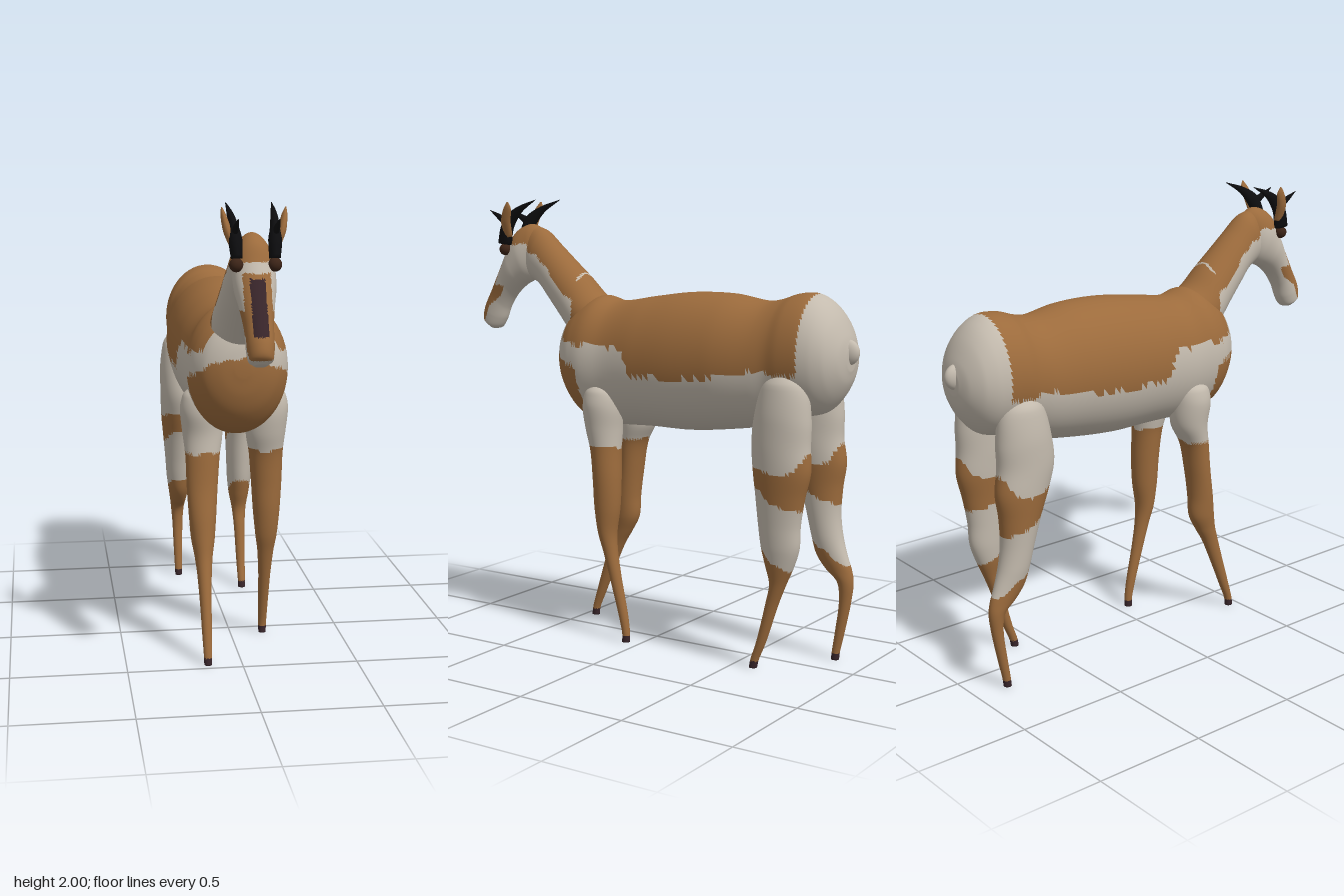
import * as THREE from 'three';

const mat = (name, color) => Object.assign(new THREE.MeshStandardMaterial({ color }), { name });

// Piecewise linear lookup in a short list of [input, output] points
function at(v, pts) {
  if (v <= pts[0][0]) return pts[0][1];
  for (let i = 1; i < pts.length; i++) {
    const [a, p] = pts[i - 1], [b, q] = pts[i];
    if (v <= b) return p + (q - p) * (v - a) / (b - a);
  }
  return pts[pts.length - 1][1];
}

// Smooth skin through oval sections [z1, y1, z2, y2, halfWidth, centreX];
// pick(x, y, z) gives the material index of each face
function loft(name, sections, materials, pick = () => 0, rings = 80, sides = 56) {
  const curve = f => new THREE.CatmullRomCurve3(sections.map(f));
  const A = curve(s => new THREE.Vector3(0, s[1], s[0]));
  const B = curve(s => new THREE.Vector3(0, s[3], s[2]));
  const W = curve(s => new THREE.Vector3(s[4], s[5] || 0, 0));
  const pos = [];
  for (let i = -1; i <= rings + 1; i++) {
    const t = Math.min(1, Math.max(0, i / rings));
    const a = A.getPoint(t), b = B.getPoint(t), w = W.getPoint(t);
    const size = i < 0 || i > rings ? 0 : 1; // closing rings
    for (let j = 0; j < sides; j++) {
      const ang = j / sides * Math.PI * 2, c = Math.cos(ang) * size / 2;
      pos.push(w.y + w.x * Math.sin(ang) * size,
        (a.y + b.y) / 2 + (a.y - b.y) * c, (a.z + b.z) / 2 + (a.z - b.z) * c);
    }
  }
  const P = i => new THREE.Vector3().fromArray(pos, i * 3);
  const tris = [];
  let volume = 0;
  for (let i = 0; i < rings + 2; i++) for (let j = 0; j < sides; j++) {
    const k = (j + 1) % sides, a = i * sides + j, b = i * sides + k, c = a + sides, d = b + sides;
    if (i < rings + 1) tris.push([a, c, d]);
    if (i > 0) tris.push([a, d, b]);
  }
  const buckets = materials.map(() => []);
  for (const t of tris) {
    const [p, q, r] = t.map(P);
    volume += p.dot(q.clone().cross(r));
    const m = p.clone().add(q).add(r).divideScalar(3);
    buckets[pick(m.x, m.y, m.z)].push(t);
  }
  const geo = new THREE.BufferGeometry();
  geo.setAttribute('position', new THREE.Float32BufferAttribute(pos, 3));
  const index = [];
  buckets.forEach((list, m) => {
    if (list.length) geo.addGroup(index.length, list.length * 3, m);
    for (const [a, b, c] of list) volume > 0 ? index.push(a, b, c) : index.push(a, c, b);
  });
  geo.setIndex(index);
  geo.computeVertexNormals();
  const mesh = new THREE.Mesh(geo, materials);
  mesh.name = name;
  return mesh;
}

export function createModel() {
  const g = new THREE.Group();
  const tan = mat('tanCoat', 0x9c6b3c), white = mat('whiteCoat', 0xc4bbae);
  const dark = mat('darkMuzzle', 0x38252a), black = mat('hornBlack', 0x0d0d0f), eyeMat = mat('eyeBrown', 0x3c2417);
  const coat = [tan, white, dark];
  const wave = v => 0.006 * Math.sin(v * 37) + 0.004 * Math.sin(v * 83);

  // Torso: z, bottom, top, half width
  const torso = [
    [.475, 1.27, 1.33, .03], [.462, 1.18, 1.41, .10], [.43, 1.1, 1.48, .16], [.36, 1.02, 1.54, .205],
    [.28, .99, 1.57, .22], [.18, .985, 1.55, .215], [0, .99, 1.575, .235], [-.2, .99, 1.6, .245],
    [-.4, 1.01, 1.6, .24], [-.58, 1.04, 1.575, .215], [-.66, 1.07, 1.59, .205], [-.72, 1.09, 1.61, .21],
    [-.8, 1.1, 1.615, .205], [-.86, 1.12, 1.585, .19], [-.91, 1.17, 1.53, .16], [-.95, 1.24, 1.45, .1],
    [-.965, 1.3, 1.4, .04]];
  const flank = [[-.8, 1.28], [-.6, 1.29], [-.3, 1.24], [-.01, 1.24], [.05, 1.34], [.08, 1.36]];
  g.add(loft('torso', torso.map(([z, b, t, w]) => [z, t, z, b, w]), coat, (x, y, z) => {
    if (z < -.81) return 1;
    if (z > .28 + (y - 1) * .08 && y < 1.35 - 2 * x * x + wave(x)) return 0; // bib
    return y > at(z, flank) + wave(z) && z < .41 ? 0 : 1;
  }, 110));

  // Tail
  const tail = new THREE.Mesh(new THREE.SphereGeometry(1, 24, 16), white);
  tail.name = 'tail';
  tail.scale.set(.032, .055, .055);
  tail.position.set(0, 1.375, -.945);
  g.add(tail);

  // Neck, tan above and white at the throat
  const nape = [[.37, 1.52], [.5, 1.63], [.62, 1.75], [.72, 1.78]];
  g.add(loft('neck', [
    [.2, 1.53, .36, 1.3, .13], [.3, 1.575, .44, 1.38, .125], [.38, 1.65, .51, 1.46, .112], [.46, 1.72, .585, 1.545, .1],
    [.54, 1.79, .64, 1.605, .09], [.62, 1.86, .7, 1.64, .08], [.68, 1.88, .74, 1.67, .06]], coat,
  (x, y, z) => (z < .4 ? y > 1.36 && z < .4 + wave(y) && (y > 1.52 + (z - .37) || z < .39)
    : y > at(z, nape) + wave(z)) ? 0 : 1));

  // Head with tan crown, tan snout and dark blaze
  g.add(loft('head', [
    [.63, 1.86, .64, 1.76, .03], [.70, 1.888, .665, 1.66, .07], [.78, 1.855, .70, 1.625, .086],
    [.828, 1.775, .75, 1.6, .085], [.88, 1.68, .81, 1.55, .07], [.94, 1.575, .85, 1.49, .058],
    [.985, 1.49, .872, 1.435, .056], [.992, 1.44, .9, 1.395, .05], [.965, 1.405, .93, 1.387, .025]], coat,
  (x, y, z) => {
    const ax = Math.abs(x), depth = .82 + (1.79 - y) * .53 - z;
    if (y > 1.79 + wave(z)) return 0;
    if (ax < .03 && y > 1.51 && y < 1.72 && depth < .04) return 2;
    if (ax < .055 && y < 1.74 && y > 1.42 && depth < .05) return 0;
    return y < 1.6 && y > 1.56 - (z - .84) * .7 && depth < .095 ? 0 : 1;
  }));

  // Eyes, ears and pronged horns
  for (const s of [1, -1]) {
    const side = s > 0 ? 'left' : 'right';
    const part = (name, list, m) =>
      g.add(loft(side + name, list.map(p => [...p.slice(0, 5), s * p[5]]), [m], undefined, 20, 14));
    const eye = new THREE.Mesh(new THREE.SphereGeometry(.028, 20, 14), eyeMat);
    eye.name = side + 'Eye';
    eye.position.set(s * .076, 1.77, .805);
    g.add(eye);
    part('Horn', [
      [.845, 1.8, .77, 1.79, .022, .075], [.825, 1.87, .76, 1.86, .027, .078], [.795, 1.925, .745, 1.885, .02, .08],
      [.72, 1.968, .7, 1.94, .014, .086], [.61, 2, .612, 1.997, .002, .092]], black);
    part('HornProng', [
      [.78, 1.915, .79, 1.87, .013, .08], [.835, 1.935, .83, 1.9, .011, .08], [.89, 1.952, .888, 1.948, .002, .08]], black);
    part('Ear', [
      [.8, 1.82, .76, 1.83, .014, .08], [.8, 1.9, .75, 1.9, .017, .107], [.775, 1.96, .735, 1.96, .011, .12],
      [.752, 1.99, .745, 1.99, .002, .126]], tan);
  }

  // Legs: y, front z, back z, half width, centre x
  const leg = (name, list, s, pick) =>
    g.add(loft(name, list.map(([y, f, b, w, x]) => [f, y, b, y, w, s * x]), coat, pick));
  const frontCoat = (x, y) => y < .035 ? 2 : y < .9 + wave(x) ? 0 : 1;
  const shoulder = [[1.19, .22, .17, .03, .15], [1.15, .27, .12, .075, .15], [1.08, .285, .105, .09, .148], [.98, .275, .11, .088, .14]];
  leg('leftFrontLeg', [...shoulder,
    [.88, .25, .112, .075, .143], [.75, .237, .108, .068, .147], [.62, .23, .112, .06, .148], [.5, .212, .128, .048, .148],
    [.42, .188, .122, .036, .148], [.3, .155, .1, .027, .148], [.12, .105, .062, .021, .148], [.04, .088, .052, .018, .148],
    [.005, .09, .053, .017, .148]], 1, frontCoat);
  leg('rightFrontLeg', [...shoulder,
    [.88, .283, .16, .075, .143], [.75, .295, .185, .068, .147], [.62, .318, .2, .06, .148], [.52, .333, .205, .052, .148],
    [.45, .345, .24, .04, .148], [.38, .365, .283, .032, .148], [.25, .405, .342, .025, .148], [.12, .445, .398, .021, .148],
    [.04, .468, .432, .018, .148], [.005, .473, .436, .017, .148]], -1, frontCoat);

  // Hind coat: white thigh, tan band, white gaskin, tan shank
  const hindCoat = shift => (x, y, z) => {
    if (y < .035) return 2;
    if (y > at(z, [[-.86, .97], [-.82, .89], [-.75, .87], [-.6, .9]])) return 1;
    if (y > at(z, [[-.86, .69], [-.75, .74], [-.6, .82]]) + wave(z)) return 0;
    return y > at(z - shift, [[-.8, .44], [-.64, .54]]) + wave(z) ? 1 : 0;
  };
  const thigh = [[1.3, -.7, -.77, .03, .15], [1.24, -.64, -.83, .075, .152], [1.1, -.6, -.855, .092, .152], [.99, -.59, -.855, .09, .153]];
  leg('leftHindLeg', [...thigh,
    [.88, -.597, -.86, .084, .155], [.77, -.61, -.835, .074, .155], [.65, -.622, -.815, .066, .152], [.55, -.635, -.81, .06, .15],
    [.47, -.655, -.785, .05, .148], [.39, -.675, -.75, .035, .148], [.3, -.657, -.715, .027, .148], [.12, -.612, -.655, .021, .148],
    [.04, -.585, -.622, .018, .148], [.005, -.578, -.614, .017, .148]], 1, hindCoat(0));
  leg('rightHindLeg', [...thigh,
    [.88, -.62, -.87, .084, .155], [.77, -.66, -.855, .074, .155], [.65, -.695, -.85, .066, .152], [.55, -.72, -.865, .06, .15],
    [.47, -.745, -.89, .05, .148], [.41, -.79, -.912, .04, .148], [.36, -.845, -.92, .033, .148], [.28, -.857, -.912, .026, .148],
    [.12, -.838, -.88, .021, .148], [.04, -.826, -.862, .018, .148], [.005, -.822, -.858, .017, .148]], -1, hindCoat(-.09));

  return g;
}
